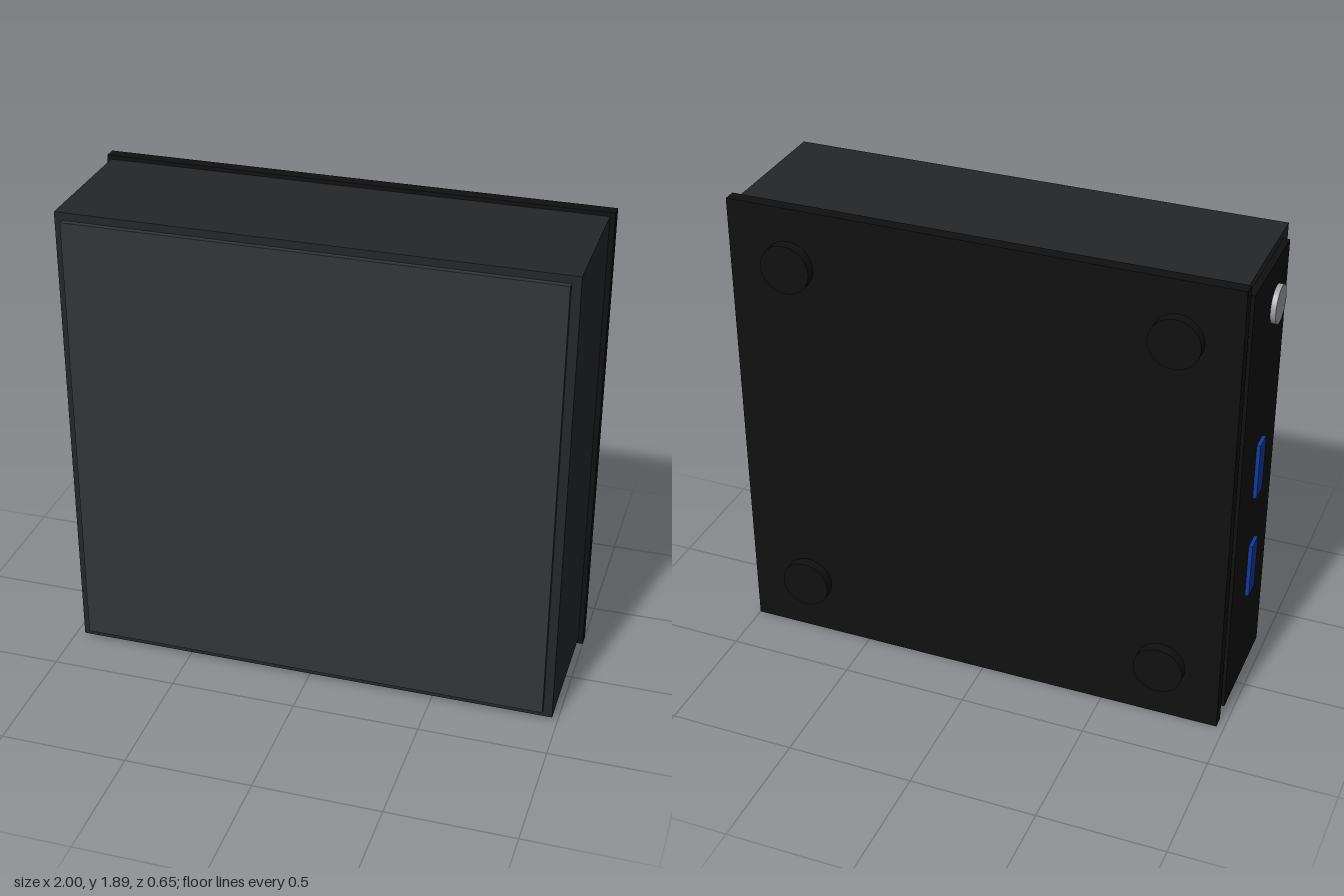
import * as THREE from 'three';

const material = (color) => new THREE.MeshStandardMaterial({ color });

export function createModel() {
  const model = new THREE.Group();
  const bodyMat = material(0x252628);
  const panelMat = material(0x333438);
  const blackMat = material(0x101010);
  const blueMat = material(0x11399c);
  const metalMat = material(0xa0a0a4);

  const add = (name, geometry, mat, x, y, z) => {
    const mesh = new THREE.Mesh(geometry, mat);
    mesh.name = name;
    mesh.position.set(x, y, z);
    model.add(mesh);
    return mesh;
  };

  // box given by its limits along each axis
  const box = (name, mat, [x0, x1], [y0, y1], [z0, z1]) =>
    add(name, new THREE.BoxGeometry(x1 - x0, y1 - y0, z1 - z0), mat,
      (x0 + x1) / 2, (y0 + y1) / 2, (z0 + z1) / 2);

  // case: main body, raised front panel, wider base plate at the back
  box('body', bodyMat, [-0.955, 0.98], [0.02, 1.875], [-0.235, 0.305]);
  box('frontPanel', panelMat, [-0.925, 0.945], [0.05, 1.845], [0.3, 0.327]);
  box('backPlate', blackMat, [-0.97, 1], [0, 1.89], [-0.285, -0.235]);

  // port panel on the right side with two ports and a round button
  box('portPanel', blackMat, [-0.98, -0.95], [0.055, 1.845], [-0.222, 0.238]);
  for (const y of [0.565, 1.015])
    box('port', blueMat, [-0.995, -0.975], [y - 0.115, y + 0.115], [-0.025, 0.052]);
  add('powerButton', new THREE.CylinderGeometry(0.073, 0.073, 0.03, 32), metalMat,
    -0.985, 1.66, 0.092).rotation.z = Math.PI / 2;

  // four round feet on the back plate
  const footGeometry = new THREE.CylinderGeometry(0.098, 0.098, 0.045, 32);
  for (const x of [-0.735, 0.757])
    for (const y of [0.235, 1.66])
      add('foot', footGeometry, blackMat, x, y, -0.3045).rotation.x = Math.PI / 2;

  return model;
}
